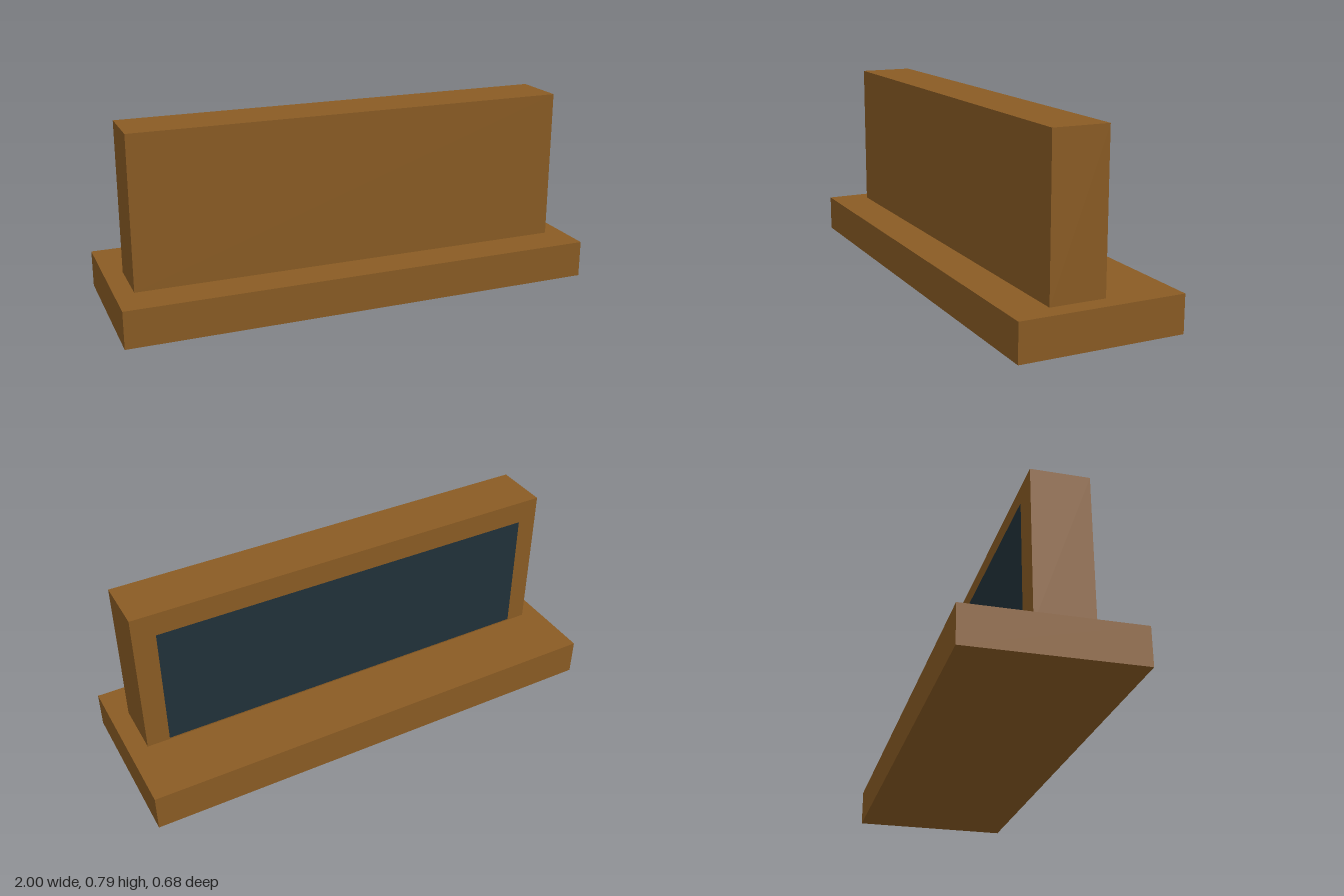
import * as THREE from 'three';

export function createModel() {
  const model = new THREE.Group();
  const wood = new THREE.MeshStandardMaterial({ color: 0x8b5c24 });
  const dark = new THREE.MeshStandardMaterial({ color: 0x21313a, side: THREE.DoubleSide });

  const add = (name, geometry, material, x, y, z) => {
    const mesh = new THREE.Mesh(geometry, material);
    mesh.name = name;
    mesh.position.set(x, y, z);
    model.add(mesh);
    return mesh;
  };

  // Wide flat base
  const baseHeight = 0.155;
  add('base', new THREE.BoxGeometry(2, baseHeight, 0.68), wood, 0, baseHeight / 2, 0);

  // Upright block, set a little forward of the middle
  const bodyHeight = 0.631, bodyDepth = 0.23, bodyZ = 0.062;
  add('uprightBody', new THREE.BoxGeometry(1.844, bodyHeight, bodyDepth), wood,
    0, baseHeight + bodyHeight / 2, bodyZ);

  // Thin dark panel just off the back face
  const panel = add('backPanel', new THREE.PlaneGeometry(1.66, 0.525), dark,
    0, 0.433, bodyZ - bodyDepth / 2 - 0.01);
  panel.rotation.y = Math.PI;

  return model;
}
